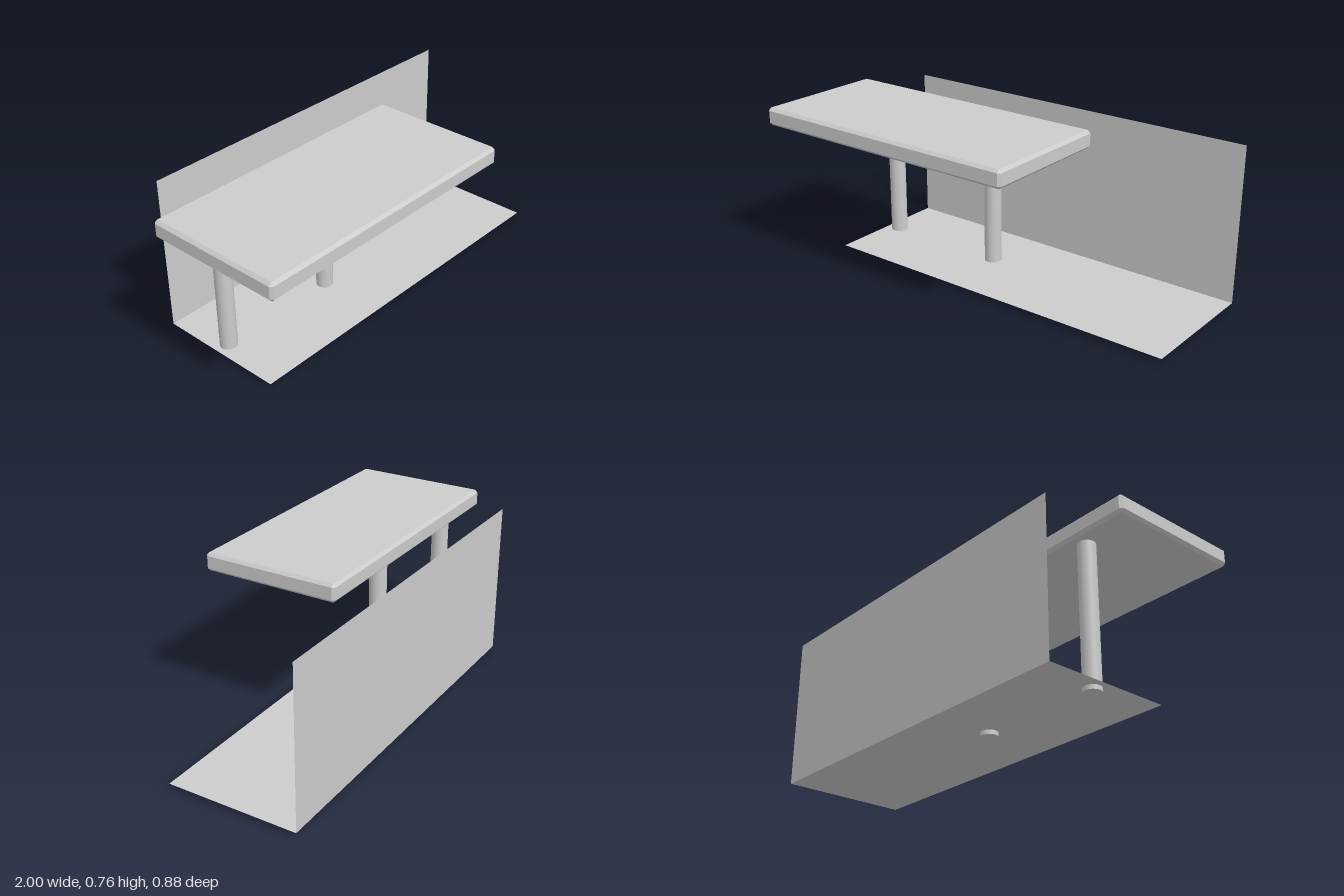
import * as THREE from 'three';
import { ConvexGeometry } from 'three/addons/geometries/ConvexGeometry.js';

// Box with every edge and corner cut flat by c
function chamferedBox(w, h, d, c) {
  const points = [];
  for (const sx of [-1, 1]) for (const sy of [-1, 1]) for (const sz of [-1, 1]) {
    const [x, y, z] = [w / 2, h / 2, d / 2];
    points.push(
      new THREE.Vector3(sx * x, sy * (y - c), sz * (z - c)),
      new THREE.Vector3(sx * (x - c), sy * y, sz * (z - c)),
      new THREE.Vector3(sx * (x - c), sy * (y - c), sz * z),
    );
  }
  return new ConvexGeometry(points);
}

export function createModel() {
  const group = new THREE.Group();
  const smooth = new THREE.MeshStandardMaterial({ color: 0xcccccc });
  const flat = new THREE.MeshStandardMaterial({ color: 0xcccccc, flatShading: true });
  const sheet = new THREE.MeshStandardMaterial({ color: 0xcccccc, side: THREE.DoubleSide });

  function add(name, geometry, material, x, y, z) {
    const mesh = new THREE.Mesh(geometry, material);
    mesh.name = name;
    mesh.position.set(x, y, z);
    group.add(mesh);
    return mesh;
  }

  // Thin backdrop: upright wall and floor meeting along the back edge
  add('wall', new THREE.PlaneGeometry(1.8, 0.74), sheet, 0.1, 0.39, -0.44);
  add('floor', new THREE.PlaneGeometry(1.8, 0.62), sheet, 0.1, 0.02, -0.13).rotation.x = -Math.PI / 2;

  // Chamfered table top
  add('tableTop', chamferedBox(1.372, 0.085, 0.659, 0.0135), flat, -0.314, 0.7155, 0.1075);

  // Two round legs, passing through the floor and stopping just short of the top
  const legGeometry = new THREE.CylinderGeometry(0.04, 0.04, 0.668, 32);
  for (const [name, x] of [['rightLeg', -0.733], ['leftLeg', -0.121]]) {
    add(name, legGeometry, smooth, x, 0.334, -0.147);
  }

  return group;
}
